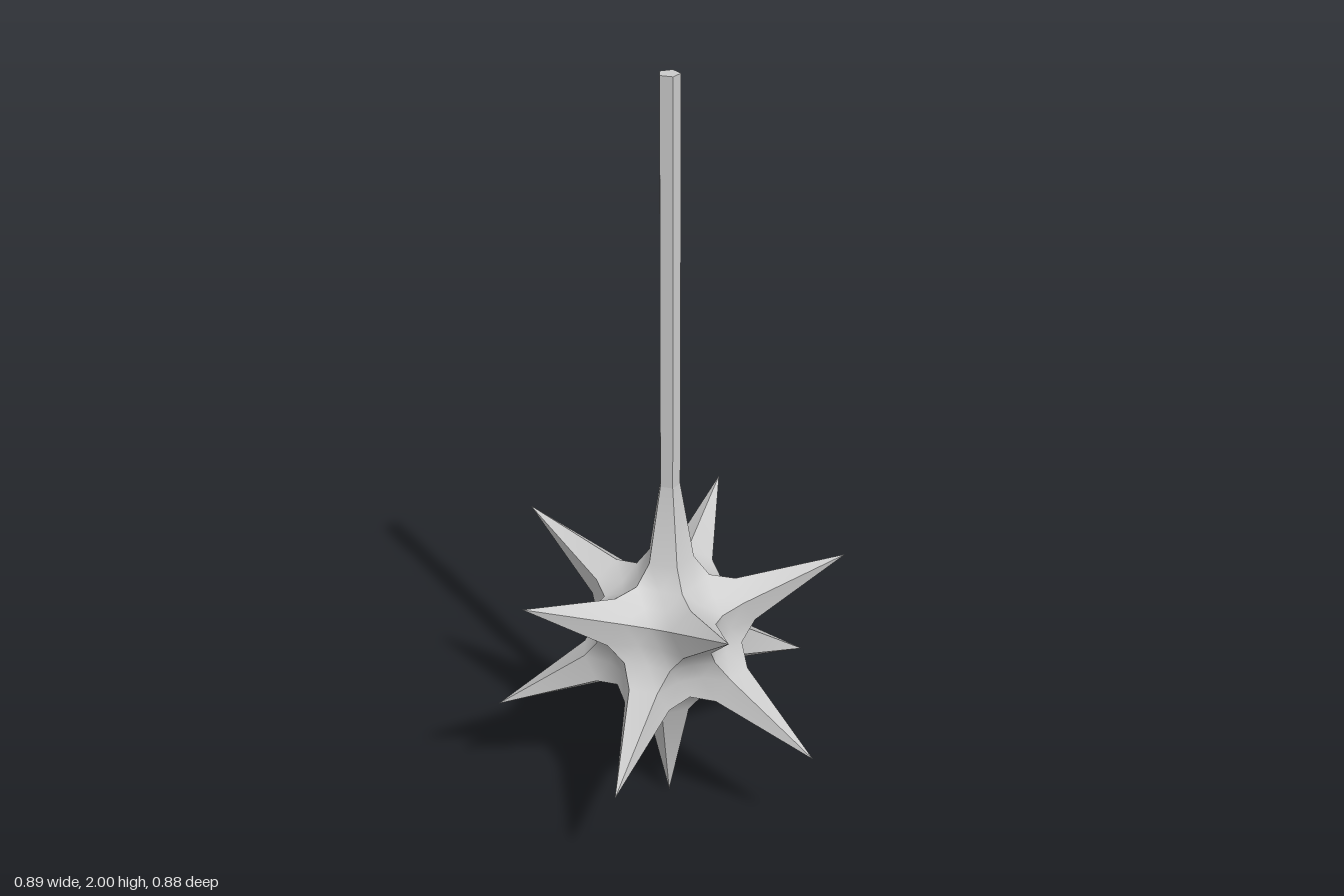
import * as THREE from 'three';
import { toCreasedNormals } from 'three/addons/utils/BufferGeometryUtils.js';

const CENTER_Y = 0.5;      // height of the ball's centre
const TIP = 0.5;           // centre to spike tip
const SPIKE_BASE = 0.229;  // centre to the foot of a spike, on a ridge
const RIDGE_MID = 0.195;   // centre to the low point of a ridge
const HOLLOW = 0.178;      // centre to the hollows between ridges
const SHAFT_R = 0.0275, SHAFT_Y = 0.93, TOP_Y = 2;
const TURN = THREE.MathUtils.degToRad(28.3);
const STEP = Math.PI * 2 / 5;

const between = (a, b) => a.clone().add(b).normalize();
const at = (dir, radius) => dir.clone().multiplyScalar(radius);

// Ball of spikes on the twelve corners of an icosahedron; the top one flares into the shaft
function spikedBall() {
  const positions = [];
  const tri = (a, b, c) => {
    // turn every triangle outwards from the centre
    const n = b.clone().sub(a).cross(c.clone().sub(a));
    const order = n.dot(a) > 0 ? [a, b, c] : [a, c, b];
    for (const p of order) positions.push(p.x, p.y, p.z);
  };
  const top = new THREE.Vector3(0, 1, 0);
  const bottom = new THREE.Vector3(0, -1, 0);
  const ring = (y, angle) => Array.from({ length: 5 }, (_, i) =>
    new THREE.Vector3(2 * Math.cos(angle + i * STEP), y, 2 * Math.sin(angle + i * STEP)).normalize());
  const upper = ring(1, TURN);
  const lower = ring(-1, TURN + STEP / 2);
  const neck = (p) => {
    const k = SHAFT_R / Math.hypot(p.x, p.z);
    return new THREE.Vector3(p.x * k, SHAFT_Y - CENTER_Y, p.z * k);
  };

  const face = (...corners) => {
    const mids = corners.map((c, i) => between(c, corners[(i + 1) % 3]));
    const inner = [];
    corners.forEach((corner, i) => {
      const next = mids[i], prev = mids[(i + 2) % 3];
      const q1 = at(between(corner, next), SPIKE_BASE);
      const q2 = at(between(corner, prev), SPIKE_BASE);
      const hollow = at(between(next, prev), HOLLOW);
      inner.push(hollow);
      // spike side, or neck side at the top
      if (corner === top) {
        tri(q1, q2, neck(q1));
        tri(q2, neck(q2), neck(q1));
      } else {
        tri(at(corner, TIP), q1, q2);
      }
      // root of the spike
      tri(q1, q2, hollow);
      tri(q1, at(next, RIDGE_MID), hollow);
      tri(q2, at(prev, RIDGE_MID), hollow);
    });
    // floor of the hollow
    tri(...inner);
    mids.forEach((m, i) => tri(at(m, RIDGE_MID), inner[i], inner[(i + 1) % 3]));
  };

  for (let i = 0; i < 5; i++) {
    const j = (i + 1) % 5;
    face(top, upper[i], upper[j]);
    face(upper[i], upper[j], lower[i]);
    face(lower[i], lower[j], upper[j]);
    face(bottom, lower[i], lower[j]);
  }
  const geometry = new THREE.BufferGeometry();
  geometry.setAttribute('position', new THREE.Float32BufferAttribute(positions, 3));
  return toCreasedNormals(geometry, 0.8);
}

export function createModel() {
  const group = new THREE.Group();
  const material = new THREE.MeshStandardMaterial({ color: 0xcccccc });

  const ball = new THREE.Mesh(spikedBall(), material);
  ball.name = 'spikedBall';
  ball.position.y = CENTER_Y;

  // Five-sided shaft, its corners in line with the upper spikes
  const shaftGeometry = new THREE.CylinderGeometry(
    SHAFT_R, SHAFT_R, TOP_Y - SHAFT_Y, 5, 1, false, Math.PI / 2 - TURN);
  const shaft = new THREE.Mesh(toCreasedNormals(shaftGeometry, 0.8), material);
  shaft.name = 'shaft';
  shaft.position.y = (TOP_Y + SHAFT_Y) / 2;

  group.add(ball, shaft);
  return group;
}
